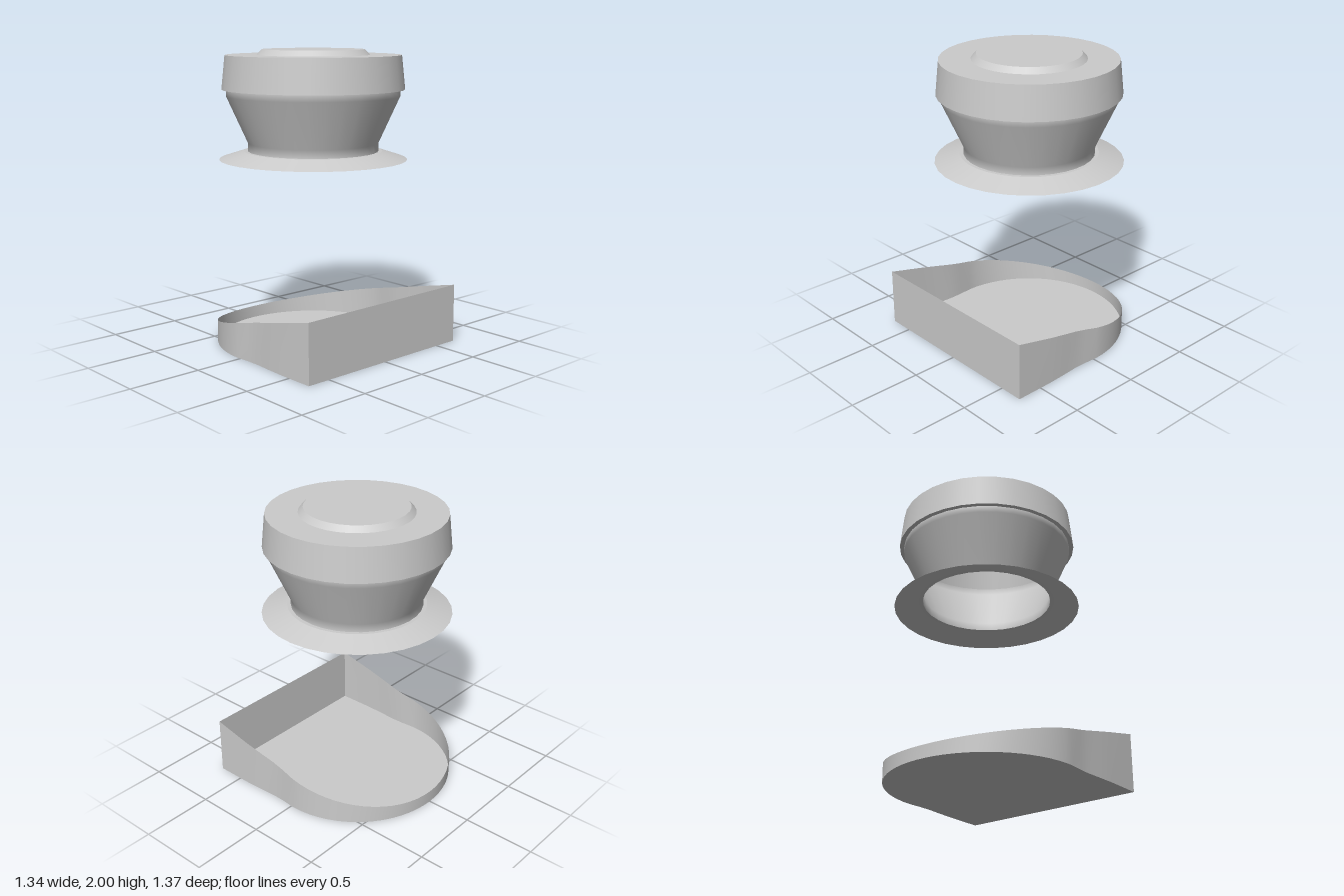
import * as THREE from 'three';

const SEGMENTS = 32;
const CENTER_Z = -0.02;

const material = new THREE.MeshStandardMaterial({ color: 0xcccccc, side: THREE.DoubleSide });

function addMesh(parent, name, geometry) {
  const mesh = new THREE.Mesh(geometry, material);
  mesh.name = name;
  parent.add(mesh);
  return mesh;
}

// Thin turned skin; profile is [radius, height] pairs
function addTurned(parent, name, profile) {
  const points = profile.map(([r, y]) => new THREE.Vector2(r, y));
  return addMesh(parent, name, new THREE.LatheGeometry(points, SEGMENTS));
}

// Tray outline in (x, z): left front corner, round the back, to the right front corner
function trayOutline() {
  const side = [[0.668, 0.685], [0.668, 0.42], [0.662, 0.28], [0.655, 0.17], [0.657, 0.08]];
  const outline = side.map(([x, z]) => [x, z]);
  for (let i = 0; i <= 32; i++) {
    const a = (i / 32) * Math.PI;
    outline.push([0.665 * Math.cos(a), CENTER_Z - 0.665 * Math.sin(a)]);
  }
  return outline.concat(side.map(([x, z]) => [-x, z]).reverse());
}

// The rim slopes from the tall front down to the low back
const rimHeight = (z) => 0.085 + ((z + 0.685) / 1.37) * 0.315;

function createTray() {
  const tray = new THREE.Group();
  tray.name = 'tray';
  const outline = trayOutline();

  // Floor
  const shape = new THREE.Shape(outline.map(([x, z]) => new THREE.Vector2(x, -z)));
  addMesh(tray, 'trayFloor', new THREE.ShapeGeometry(shape).rotateX(-Math.PI / 2));

  // Curved side and back wall: a strip bent along the outline
  const wall = new THREE.PlaneGeometry(1, 1, outline.length - 1, 1);
  const position = wall.attributes.position;
  for (let i = 0; i < position.count; i++) {
    const [x, z] = outline[i % outline.length];
    position.setXYZ(i, x, i < outline.length ? rimHeight(z) : 0, z);
  }
  wall.computeVertexNormals();
  addMesh(tray, 'trayWall', wall);

  // Flat front wall
  addMesh(tray, 'trayFront', new THREE.PlaneGeometry(1.336, 0.4).translate(0, 0.2, 0.685));
  return tray;
}

function createHopper() {
  const hopper = new THREE.Group();
  hopper.name = 'hopper';
  hopper.position.z = CENTER_Z;

  // Flared skirt around the open bottom
  addTurned(hopper, 'skirt', [[0.637, 1.265], [0.468, 1.32]]);
  addTurned(hopper, 'skirtTop', [[0.468, 1.32], [0.442, 1.32]]);
  // Funnel body
  addTurned(hopper, 'body', [[0.442, 1.32], [0.442, 1.375], [0.585, 1.69], [0.585, 1.735]]);
  // Hollow lid with a tapered side
  addTurned(hopper, 'lidLip', [[0.585, 1.735], [0.616, 1.735]]);
  addTurned(hopper, 'lidSide', [[0.616, 1.735], [0.592, 1.963]]);
  addTurned(hopper, 'lidTop', [[0.592, 1.963], [0.38, 1.963]]);
  // Raised cap
  addTurned(hopper, 'capBevel', [[0.38, 1.963], [0.346, 2]]);
  addTurned(hopper, 'capTop', [[0.346, 2], [0, 2]]);
  return hopper;
}

export function createModel() {
  const model = new THREE.Group();
  model.name = 'feeder';
  model.add(createTray(), createHopper());
  return model;
}
